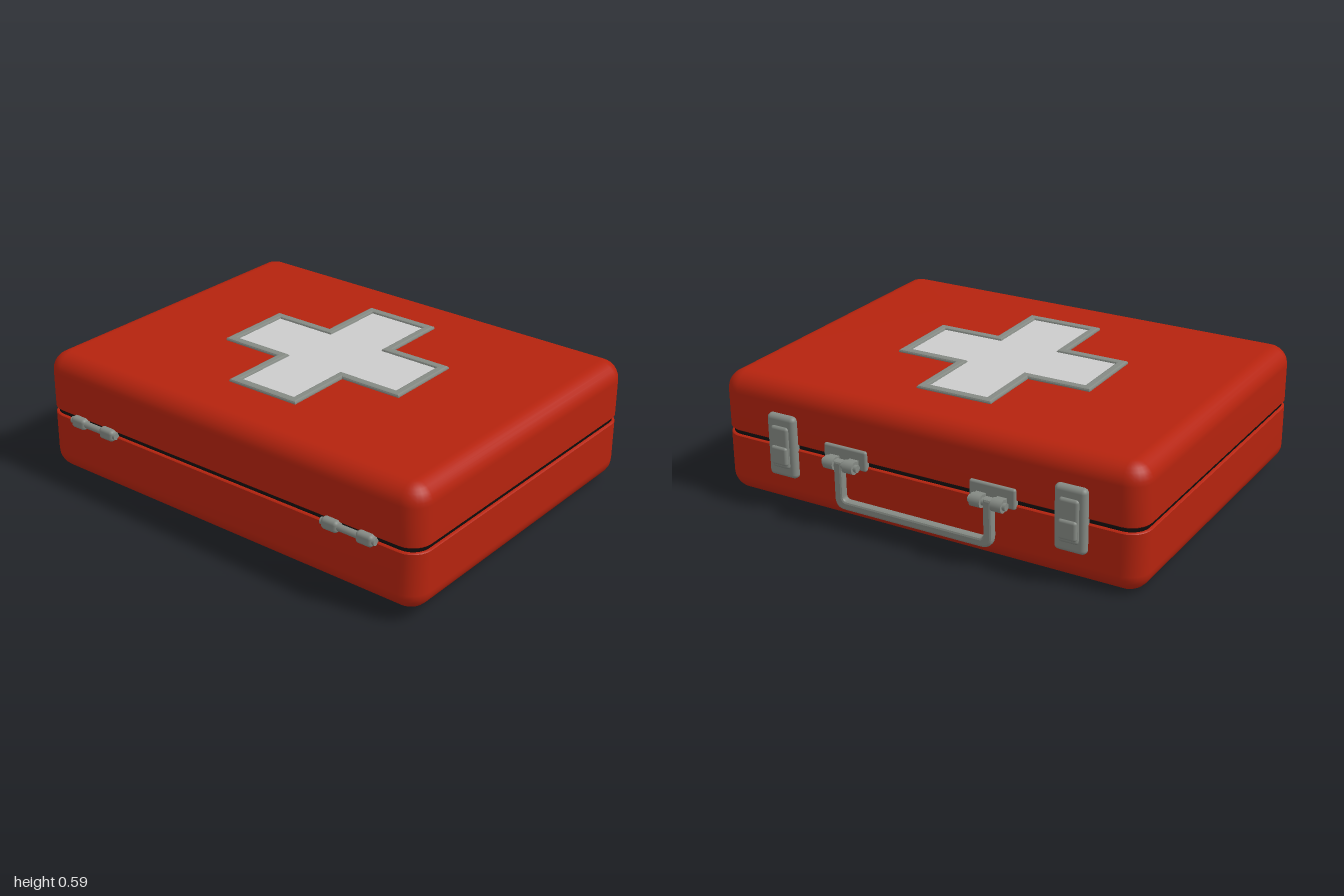
import * as THREE from 'three';
import { RoundedBoxGeometry } from 'three/addons/geometries/RoundedBoxGeometry.js';

const paint = (name, color, side = THREE.FrontSide) => {
  const m = new THREE.MeshStandardMaterial({ color, side });
  m.name = name;
  return m;
};

// Half of the case: rounded-rectangle rings stacked along a profile of [inset, y], closed by a fan
function shellGeometry(profile, dir) {
  const hx = 0.995, hz = 0.762, corner = 0.09, steps = 6;
  const pos = [], idx = [], n = 4 * (steps + 1);
  const tri = (a, b, c) => (dir > 0 ? idx.push(a, b, c) : idx.push(a, c, b));
  for (const [inset, y] of profile) {
    for (let q = 0; q < 4; q++) {
      const sx = q === 0 || q === 3 ? 1 : -1, sz = q < 2 ? 1 : -1;
      for (let i = 0; i <= steps; i++) {
        const a = (q + i / steps) * Math.PI / 2, r = corner - inset;
        pos.push(sx * (hx - corner) + r * Math.cos(a), dir * y, sz * (hz - corner) + r * Math.sin(a));
      }
    }
  }
  for (let k = 0; k < profile.length - 1; k++) {
    for (let j = 0; j < n; j++) {
      const a = k * n + j, d = k * n + (j + 1) % n;
      tri(a, a + n, d + n);
      tri(a, d + n, d);
    }
  }
  const top = (profile.length - 1) * n, centre = profile.length * n;
  pos.push(0, dir * profile[profile.length - 1][1], 0);
  for (let j = 0; j < n; j++) tri(top + j, centre, top + (j + 1) % n);
  const g = new THREE.BufferGeometry();
  g.setAttribute('position', new THREE.Float32BufferAttribute(pos, 3));
  g.setIndex(idx);
  g.computeVertexNormals();
  return g;
}

// Profile from the seam lip, up the wall and round the outer edge
function halfProfile(seam, end, r = 0.083) {
  const p = [[0.02, seam], [0.005, seam], [0, seam + 0.005], [0, seam + 0.005], [0, end - r]];
  for (let i = 1; i <= 7; i++) {
    const a = i / 7 * Math.PI / 2;
    p.push([r * (1 - Math.cos(a)), end - r + r * Math.sin(a)]);
  }
  return p;
}

// Cross outline; lx, lz are arm lengths, wx, wz arm half widths
function crossPoints(lx, lz, wx, wz) {
  return [[wx, lz], [-wx, lz], [-wx, wz], [-lx, wz], [-lx, -wz], [-wx, -wz], [-wx, -lz],
    [wx, -lz], [wx, -wz], [lx, -wz], [lx, wz], [wx, wz]].map(([x, y]) => new THREE.Vector2(x, y));
}

export function createModel() {
  const red = paint('case red', 0xb5230e);
  const grey = paint('metal grey', 0x858a84);
  const white = paint('cross white', 0xcccccc, THREE.DoubleSide);
  const black = paint('seam black', 0x0c0a0a);

  const model = new THREE.Group();
  model.name = 'firstAidCase';
  const body = new THREE.Group();
  body.name = 'case';
  body.position.set(0, 0.3, 0.02);
  body.rotation.set(-0.022, 0.005, 0.01);
  model.add(body);

  const add = (name, geo, mat, x = 0, y = 0, z = 0, parent = body) => {
    const m = new THREE.Mesh(geo, mat);
    m.name = name;
    m.position.set(x, y, z);
    parent.add(m);
    return m;
  };
  const group = (name, x, y, z) => {
    const g = new THREE.Group();
    g.name = name;
    g.position.set(x, y, z);
    body.add(g);
    return g;
  };
  const rod = (r, len) => new THREE.CylinderGeometry(r, r, len, 16).rotateZ(Math.PI / 2);

  // Case halves and the dark seam between them
  add('lid', shellGeometry(halfProfile(0.018, 0.273), 1), red);
  add('base', shellGeometry(halfProfile(0.002, 0.273), -1), red);
  add('seam', shellGeometry([[0.012, -0.02], [0.012, 0.035]], 1), black);

  // Raised cross frame with its inner panel
  const cross = group('cross', -0.005, 0.264, -0.01);
  cross.rotation.y = 0.006;
  const outline = new THREE.Shape(crossPoints(0.465, 0.49, 0.176, 0.181));
  const inner = crossPoints(0.427, 0.452, 0.139, 0.144);
  outline.holes.push(new THREE.Path(inner));
  const frame = new THREE.ExtrudeGeometry(outline, {
    depth: 0.014, bevelThickness: 0.008, bevelSize: 0.008, bevelOffset: -0.008, bevelSegments: 2,
  }).rotateX(-Math.PI / 2);
  add('crossFrame', frame, grey, 0, 0, 0, cross);
  add('crossPanel', new THREE.ShapeGeometry(new THREE.Shape(inner)).rotateX(-Math.PI / 2), white, 0, 0.013, 0, cross);

  // Hinges along the front seam
  for (const x of [-0.7, 0.675]) {
    const hinge = group('hinge', x, 0.003, 0.765);
    add('hingePin', rod(0.015, 0.264), grey, 0, 0, 0.004, hinge);
    for (const s of [-1, 1]) {
      add('hingeKnuckle', new RoundedBoxGeometry(0.08, 0.052, 0.05, 3, 0.016), grey, s * 0.084, 0, 0, hinge);
    }
  }

  // Latches on the back
  for (const x of [-0.7, 0.665]) {
    const latch = group('latch', x, 0.008, -0.765);
    add('latchPlate', new RoundedBoxGeometry(0.14, 0.28, 0.05, 3, 0.02), grey, 0, 0, 0, latch);
    add('latchLever', new RoundedBoxGeometry(0.088, 0.19, 0.04, 3, 0.014), grey, 0, 0, -0.016, latch);
    add('latchGrip', new RoundedBoxGeometry(0.08, 0.085, 0.03, 3, 0.012), grey, 0, -0.035, -0.031, latch);
  }

  // Brackets that carry the handle
  for (const s of [-1, 1]) {
    const bracket = group('handleBracket', s * 0.35, 0.005, -0.805);
    add('bracketPlate', new RoundedBoxGeometry(0.21, 0.09, 0.03, 2, 0.01), grey, 0, 0.02, 0.045, bracket);
    add('bracketPin', rod(0.016, 0.17), grey, 0, 0, 0, bracket);
    for (const t of [-1, 1]) {
      add('bracketKnuckle', rod(0.028, 0.048), grey, t * 0.048, 0, 0, bracket);
      add('bracketLug', new THREE.BoxGeometry(0.044, 0.045, 0.05), grey, t * 0.048, 0, 0.022, bracket);
    }
  }

  // Hanging handle: U outline with rounded lower corners
  const u = new THREE.Shape();
  u.moveTo(-0.375, 0.025);
  u.lineTo(-0.375, -0.14);
  u.quadraticCurveTo(-0.375, -0.19, -0.325, -0.19);
  u.lineTo(0.325, -0.19);
  u.quadraticCurveTo(0.375, -0.19, 0.375, -0.14);
  u.lineTo(0.375, 0.025);
  u.lineTo(0.335, 0.025);
  u.lineTo(0.335, -0.13);
  u.quadraticCurveTo(0.335, -0.15, 0.315, -0.15);
  u.lineTo(-0.315, -0.15);
  u.quadraticCurveTo(-0.335, -0.15, -0.335, -0.13);
  u.lineTo(-0.335, 0.025);
  u.closePath();
  const handle = new THREE.ExtrudeGeometry(u, {
    depth: 0.02, bevelThickness: 0.01, bevelSize: 0.01, bevelOffset: -0.01, bevelSegments: 2, curveSegments: 8,
  });
  add('handle', handle, grey, 0, 0, -0.813);

  return model;
}
